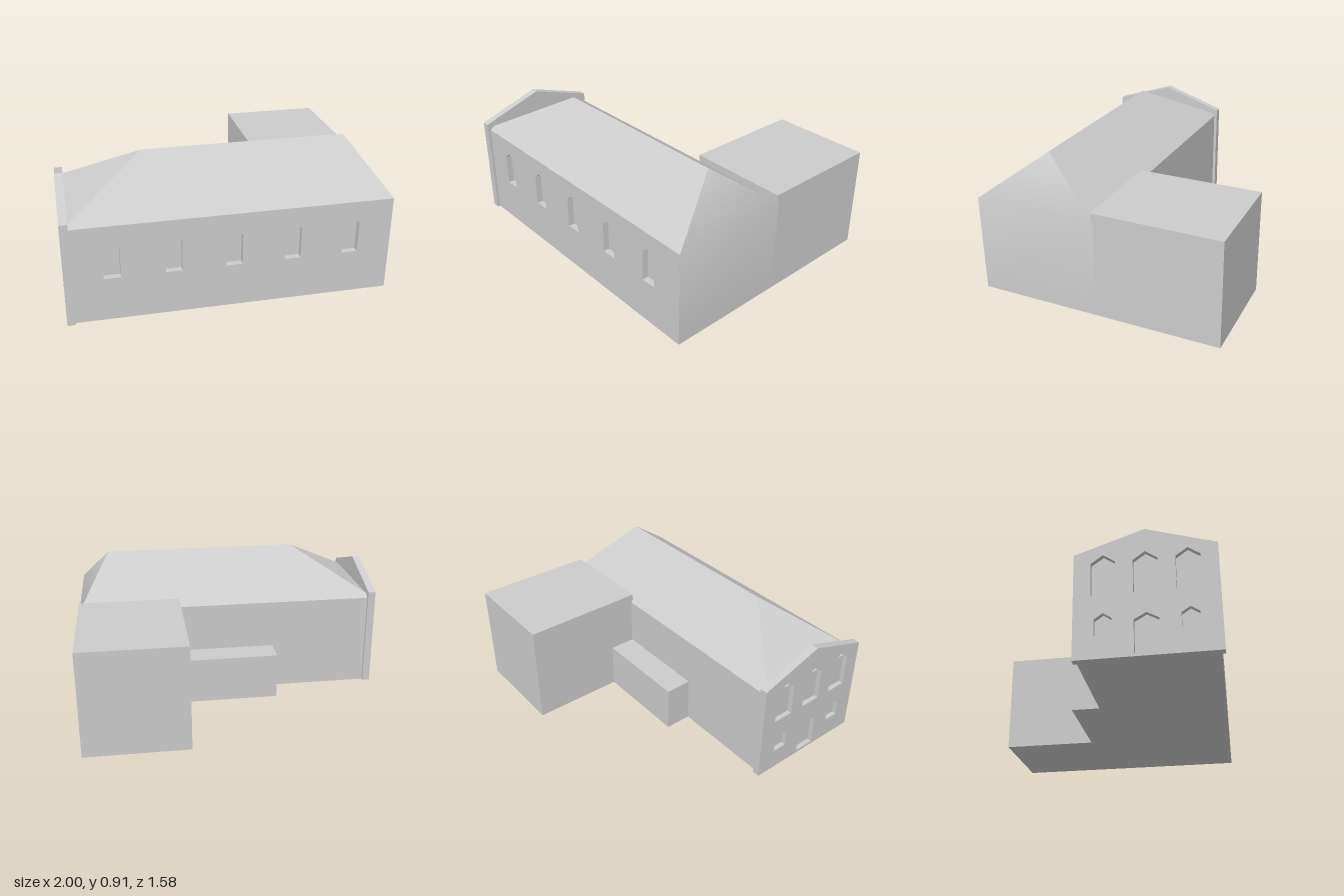
import * as THREE from 'three';

export function createModel() {
  const model = new THREE.Group();
  const stone = new THREE.MeshStandardMaterial({ color: 0xcccccc });
  stone.name = 'pale grey';

  const add = (name, geometry) => {
    const mesh = new THREE.Mesh(geometry, stone);
    mesh.name = name;
    model.add(mesh);
    return mesh;
  };
  // Box given by its limits on each axis
  const block = (x0, x1, y0, y1, z0, z1) =>
    new THREE.BoxGeometry(x1 - x0, y1 - y0, z1 - z0)
      .translate((x0 + x1) / 2, (y0 + y1) / 2, (z0 + z1) / 2);
  // Surface from corner points and triangles
  const surface = (points, index) => {
    const g = new THREE.BufferGeometry();
    g.setAttribute('position', new THREE.Float32BufferAttribute(points.flat(), 3));
    g.setIndex(index);
    g.computeVertexNormals();
    return g;
  };
  const outline = (points) => points.map(([x, y]) => new THREE.Vector2(x, y));
  // Pointed opening: centre, width, sill, spring line, tip
  const opening = (c, w, sill, spring, tip) => new THREE.Path(outline([
    [c - w / 2, sill], [c + w / 2, sill], [c + w / 2, spring], [c, tip], [c - w / 2, spring],
  ]));
  const panel = (points, holes, depth) => {
    const shape = new THREE.Shape(outline(points));
    shape.holes.push(...holes);
    return new THREE.ExtrudeGeometry(shape, { depth, bevelEnabled: false });
  };

  const EAVE = 0.62, RIDGE = 0.91, FRONT = 0.77, BACK = -0.01, MID = 0.38, REVEAL = 0.04;

  // Hall core, its +x face left out for the end wall
  const core = block(-0.96, 1, 0, EAVE, BACK, FRONT - REVEAL);
  core.setIndex(Array.from(core.index.array).slice(6));
  core.clearGroups();
  add('hallWalls', core);

  // Front wall with five recessed windows
  const windows = [-0.72, -0.355, 0.01, 0.375, 0.74].map((x) => opening(x, 0.1, 0.28, 0.48, 0.52));
  add('frontWall', panel([[-0.96, 0], [0.999, 0], [0.999, EAVE], [-0.96, EAVE]], windows, REVEAL)
    .translate(0, 0, FRONT - REVEAL));

  // Roof slopes
  const fl = [-0.99, EAVE, FRONT], fr = [1, EAVE, FRONT];
  const bl = [-0.99, EAVE, BACK], br = [1, EAVE, BACK];
  const ridgeL = [-0.48, RIDGE, MID], ridgeR = [0.8, RIDGE, MID];
  const quad = [0, 1, 2, 0, 2, 3];
  add('frontRoof', surface([fl, fr, ridgeR, ridgeL], quad));
  add('backRoof', surface([br, bl, ridgeL, ridgeR], quad));
  add('entranceHip', surface([bl, fl, ridgeL], [0, 1, 2]));

  // End wall and its hip, softly shaded as one surface
  add('endWallAndHip', surface(
    [[1, 0, FRONT], [1, 0, BACK], br, fr, ridgeR],
    [0, 1, 2, 0, 2, 3, 3, 2, 4]));

  // Gabled entrance facade: pierced outer layer on a solid backing
  const gable = [[-0.03, 0], [0.79, 0], [0.79, 0.665], [MID, 0.8], [-0.03, 0.665]];
  const openings = [opening(MID, 0.14, 0.02, 0.22, 0.26)];
  for (const z of [0.14, MID, 0.62]) openings.push(opening(z, 0.14, 0.39, 0.6, 0.65));
  for (const z of [0.14, 0.62]) openings.push(opening(z, 0.1, 0.14, 0.24, 0.275));
  add('facadeBacking', panel(gable, [], 0.02).rotateY(-Math.PI / 2).translate(-0.95, 0, 0));
  add('facadeFace', panel(gable, openings, 0.03).rotateY(-Math.PI / 2).translate(-0.97, 0, 0));

  // Flat-roofed back wing and low lean-to
  add('backWing', block(0.345, 1, 0, 0.675, -0.79, 0.005));
  add('lowAnnex', block(-0.29, 0.36, 0, 0.305, -0.185, 0));

  return model;
}
